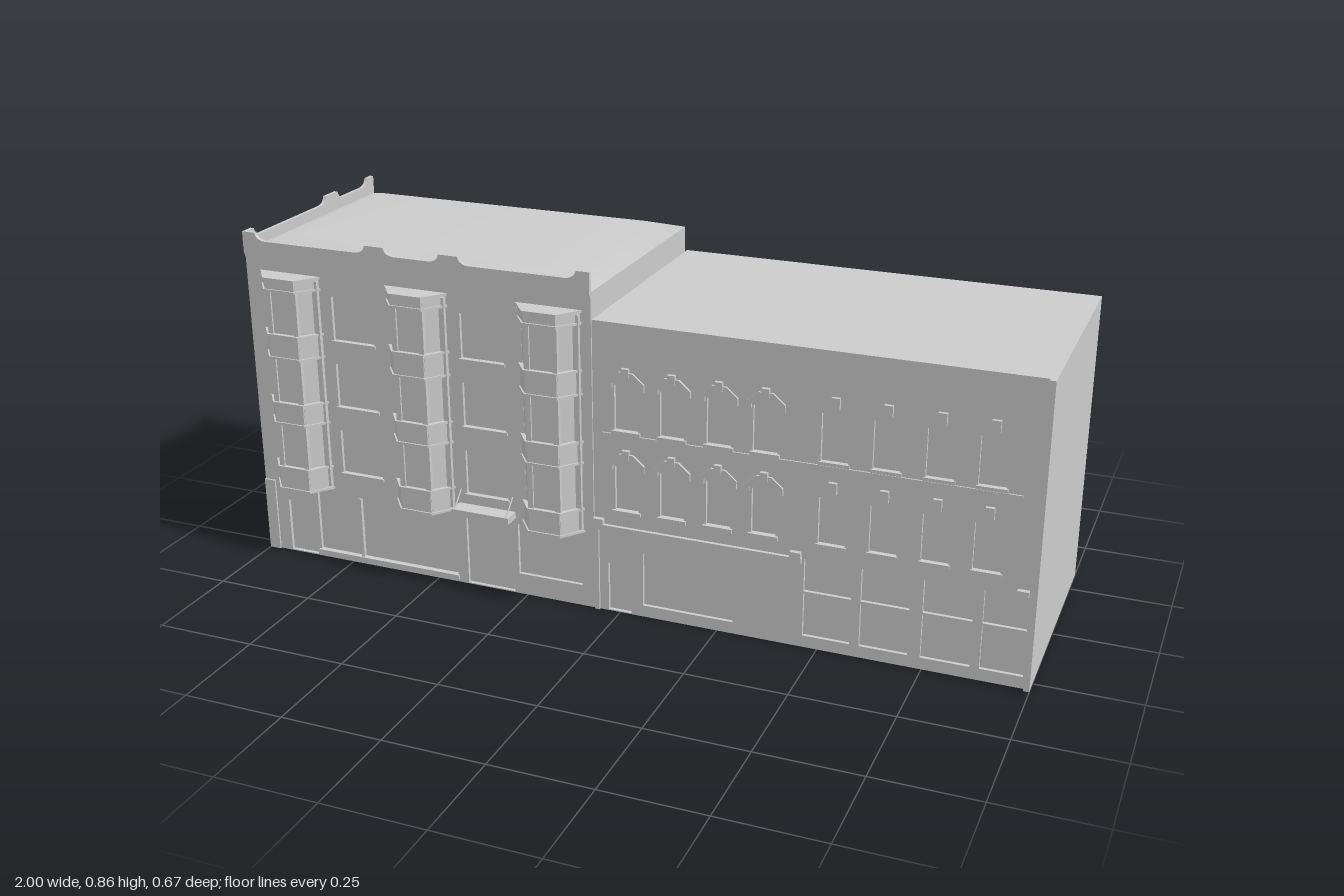
import * as THREE from 'three';

const stone = new THREE.MeshStandardMaterial({ color: 0xcccccc, side: THREE.DoubleSide });
stone.name = 'stone grey';

function add(parent, name, geo) {
  const m = new THREE.Mesh(geo, stone);
  m.name = name;
  parent.add(m);
  return m;
}

// box given by its limits
function box(parent, name, x0, x1, y0, y1, z0, z1) {
  const g = new THREE.BoxGeometry(x1 - x0, y1 - y0, z1 - z0);
  g.translate((x0 + x1) / 2, (y0 + y1) / 2, (z0 + z1) / 2);
  return add(parent, name, g);
}

// flat four-cornered surface
function quad(parent, name, ...p) {
  const g = new THREE.BufferGeometry();
  g.setAttribute('position', new THREE.Float32BufferAttribute(p.flat(), 3));
  g.setIndex([0, 1, 2, 0, 2, 3]);
  g.computeVertexNormals();
  return add(parent, name, g);
}

// opening outline, its head raised by `rise`
function outline(C, [x0, x1, y0, y1, rise = 0]) {
  const s = new C();
  s.moveTo(x0, y0);
  s.lineTo(x1, y0);
  s.lineTo(x1, y1 - rise);
  if (rise) s.quadraticCurveTo((x0 + x1) / 2, y1 + rise, x0, y1 - rise);
  else s.lineTo(x0, y1);
  s.closePath();
  return s;
}

// wall with recessed panes; gaps are openings left without a pane
function wall(parent, name, rect, z, openings, gaps = [], depth = 0.01) {
  const s = outline(THREE.Shape, rect);
  [...openings, ...gaps].forEach(o => s.holes.push(outline(THREE.Path, o)));
  const g = new THREE.ExtrudeGeometry(s, { depth, bevelEnabled: false, curveSegments: 6 });
  add(parent, name, g.translate(0, 0, z - depth));
  openings.forEach(o => {
    const pane = new THREE.ShapeGeometry(outline(THREE.Shape, o), 6);
    add(parent, 'windowPane', pane.translate(0, 0, z - depth + 0.001));
  });
}

// parapet between a and b with raised blocks [start, end]
function parapet(parent, name, a, b, blocks, z) {
  const lo = 0.84, hi = 0.86, f = 0.03;
  const s = new THREE.Shape();
  s.moveTo(b, 0.805);
  s.lineTo(a, 0.805);
  s.lineTo(a, lo);
  blocks.forEach(([p, q]) => {
    if (p > a) {
      s.lineTo(p - f, lo);
      s.quadraticCurveTo(p - 0.005, lo, p, hi);
    } else s.lineTo(a, hi);
    s.lineTo(q, hi);
    if (q < b) s.quadraticCurveTo(q + 0.005, lo, q + f, lo);
  });
  s.closePath();
  const g = new THREE.ExtrudeGeometry(s, { depth: 0.01, bevelEnabled: false, curveSegments: 5 });
  add(parent, name, g.translate(0, 0, z - 0.01));
}

// three-sided bay slice, grown outward by e
function baySlice(parent, name, x, y0, y1, e) {
  const s = new THREE.Shape();
  s.moveTo(-0.081 - e, 0);
  s.lineTo(-0.041 - e * 0.6, -0.051 - e);
  s.lineTo(0.041 + e * 0.6, -0.051 - e);
  s.lineTo(0.081 + e, 0);
  s.closePath();
  const g = new THREE.ExtrudeGeometry(s, { depth: y1 - y0, bevelEnabled: false });
  add(parent, name, g.rotateX(-Math.PI / 2).translate(x, y0, 0.28));
}

function bay(parent, x) {
  const g = new THREE.Group();
  g.name = 'bayWindow';
  parent.add(g);
  baySlice(g, 'bayGlazing', x, 0.205, 0.76, -0.007);
  [[0.2, 0.265], [0.38, 0.44], [0.555, 0.62], [0.73, 0.765]].forEach(([a, b]) => {
    baySlice(g, 'baySpandrel', x, a, b, 0);
    baySlice(g, 'bayMoulding', x, a, a + 0.006, 0.004);
    baySlice(g, 'bayMoulding', x, b - 0.006, b, 0.004);
  });
  // corner posts
  for (const s of [-1, 1]) for (const [px, pz] of [[0.036, 0.323], [0.073, 0.284]]) {
    const c = x + s * px;
    box(g, 'bayPost', c - 0.007, c + 0.007, 0.21, 0.755, pz - 0.007, pz + 0.006);
  }
}

function cornerBuilding() {
  const g = new THREE.Group();
  g.name = 'cornerBuilding';
  const L = -1, R = -0.067, B = -0.325, F = 0.28, T = 0.81;
  const rows = [[0.25, 0.375], [0.43, 0.548], [0.605, 0.72]];
  const bays = [-0.875, -0.525, -0.175];
  const frontWindows = [], sideWindows = [];
  rows.forEach(([a, b], i) => {
    const rise = [0.01, 0.005, 0.001][i];
    [-0.705, -0.352].forEach(x => frontWindows.push([x - 0.057, x + 0.057, a, b, rise]));
    [-0.255, -0.095, 0.05, 0.195].forEach(z => sideWindows.push([z - 0.05, z + 0.05, a, b, rise]));
  });
  // front with shop openings and upper windows
  const shops = [[-0.935, -0.855, 0.003, 0.145], [-0.845, -0.445, 0.02, 0.185],
    [-0.415, -0.285, 0.003, 0.185], [-0.272, -0.1, 0.055, 0.19]];
  wall(g, 'frontWall', [L, R, 0, T], F, [...frontWindows, ...shops],
    bays.map(x => [x - 0.07, x + 0.07, 0.21, 0.75]));
  bays.forEach(x => bay(g, x));
  frontWindows.forEach(([a, b, y]) => box(g, 'windowSill', a - 0.004, b + 0.004, y - 0.008, y, F, F + 0.005));
  box(g, 'shopSill', -0.85, -0.44, 0.008, 0.02, F, F + 0.006);
  box(g, 'doorPost', -0.724, -0.716, 0.02, 0.185, F - 0.008, F + 0.002);
  box(g, 'cornerPier', L, -0.97, 0, 0.195, F, F + 0.005);

  // entrance canopy with its stays
  box(g, 'entranceCanopy', -0.432, -0.277, 0.205, 0.222, F, 0.323);
  for (const x of [-0.425, -0.284]) {
    const path = new THREE.LineCurve3(new THREE.Vector3(x, 0.222, 0.318), new THREE.Vector3(x, 0.26, F));
    add(g, 'canopyStay', new THREE.TubeGeometry(path, 1, 0.002, 5));
  }

  // side street wall, built facing front and then turned
  const side = new THREE.Group();
  side.name = 'sideWall';
  side.rotation.y = -Math.PI / 2;
  g.add(side);
  wall(side, 'sideWallFace', [B, F, 0, T], 0.997, sideWindows);
  sideWindows.forEach(([a, b, y]) => box(side, 'windowSill', a - 0.004, b + 0.004, y - 0.008, y, 0.997, 1));
  box(side, 'cornerPier', 0.25, F, 0, 0.195, 0.997, 1);
  parapet(side, 'sideParapet', B, 0.285, [[B, -0.295], [-0.14, -0.085], [0.25, 0.285]], 1);

  // party wall and rear
  quad(g, 'partyWall', [R, 0, F], [R, 0, B], [R, T, B], [R, T, F]);
  quad(g, 'rearWall', [R, 0, B], [L, 0, B], [L, T, B], [R, T, B]);

  // gently raised roof with smooth shading
  const roof = new THREE.BufferGeometry();
  const i = 0.08, H = 0.838;
  roof.setAttribute('position', new THREE.Float32BufferAttribute([
    L, T, F, R, T, F, R, T, B, L, T, B,
    L + i, H, F - i, R - i, H, F - i, R - i, H, B + i, L + i, H, B + i], 3));
  const idx = [4, 5, 6, 4, 6, 7];
  for (let k = 0; k < 4; k++) {
    const n = (k + 1) % 4;
    idx.push(k, n, 4 + n, k, 4 + n, 4 + k);
  }
  roof.setIndex(idx);
  roof.computeVertexNormals();
  add(g, 'roof', roof);

  // front parapet and cornice
  parapet(g, 'frontParapet', L, R, [[L, -0.965], [-0.655, -0.605], [-0.455, -0.405], [-0.1, R]], 0.286);
  box(g, 'cornice', L, R, 0.796, 0.81, F - 0.005, 0.283);
  return g;
}

// bent window hood
function hood(parent, x, y) {
  const s = new THREE.Shape([[-0.046, 0], [-0.034, 0], [-0.034, 0.012], [-0.014, 0.03], [0.014, 0.03],
    [0.034, 0.012], [0.034, 0], [0.046, 0], [0.046, 0.018], [0.018, 0.042], [-0.018, 0.042], [-0.046, 0.018]]
    .map(p => new THREE.Vector2(...p)));
  const geo = new THREE.ExtrudeGeometry(s, { depth: 0.006, bevelEnabled: false });
  add(parent, 'windowHood', geo.translate(x, y, 0.28));
}

function rowBuilding() {
  const g = new THREE.Group();
  g.name = 'rowBuilding';
  const L = -0.065, M = 0.457, R = 1, B = -0.335, F = 0.28, T = 0.745;
  const left = [0.02, 0.135, 0.25, 0.362], right = [0.525, 0.645, 0.765, 0.882];
  const leftOpen = [[-0.03, 0.03, 0.003, 0.13], [0.06, 0.29, 0.03, 0.17]], rightOpen = [];
  for (const y of [0.275, 0.48]) {
    left.forEach(x => {
      leftOpen.push([x - 0.03, x + 0.03, y, y + 0.12, 0.008]);
      hood(g, x, y + 0.105);
      box(g, 'keystone', x - 0.009, x + 0.009, y + 0.135, y + 0.158, F, F + 0.01);
      box(g, 'windowSill', x - 0.036, x + 0.036, y - 0.01, y, F, F + 0.007);
    });
    right.forEach(x => {
      rightOpen.push([x - 0.032, x + 0.032, y, y + 0.12, 0.004]);
      box(g, 'keystone', x - 0.01, x + 0.01, y + 0.13, y + 0.158, F, F + 0.009);
      box(g, 'windowSill', x - 0.036, x + 0.036, y - 0.008, y, F, F + 0.005);
    });
  }
  // shop bays, each split by a transom
  [0.463, 0.6, 0.745, 0.882].forEach(x => {
    const w = x > 0.8 ? 0.1 : 0.115;
    rightOpen.push([x, x + w, 0.03, 0.14], [x, x + w, 0.146, 0.23]);
  });
  wall(g, 'leftFront', [L, M, 0, T], F, leftOpen);
  wall(g, 'rightFront', [M, R, 0, T], F, rightOpen);

  // courses, shop cornice, pilasters and brackets
  box(g, 'stringCourse', -0.04, 0.95, 0.466, 0.471, F, F + 0.004);
  box(g, 'shopCornice', L, M, 0.218, 0.232, F, F + 0.009);
  box(g, 'endPilaster', 0.986, R, 0, T, F, F + 0.01);
  box(g, 'startPilaster', L, L + 0.012, 0, 0.22, F, F + 0.006);
  [-0.052, 0.443, 0.968].forEach(x => box(g, 'bracket', x - 0.013, x + 0.013, 0.233, 0.247, F, F + 0.012));

  // plain shell
  quad(g, 'endWall', [R, 0, F], [R, 0, B], [R, T, B], [R, T, F]);
  quad(g, 'rearWall', [R, 0, B], [L, 0, B], [L, T, B], [R, T, B]);
  quad(g, 'innerWall', [L, 0, B], [L, 0, F], [L, T, F], [L, T, B]);
  quad(g, 'roof', [L, T, F], [R, T, F], [R, T, B], [L, T, B]);
  return g;
}

export function createModel() {
  const model = new THREE.Group();
  model.name = 'streetBlock';
  model.add(cornerBuilding(), rowBuilding());
  return model;
}
